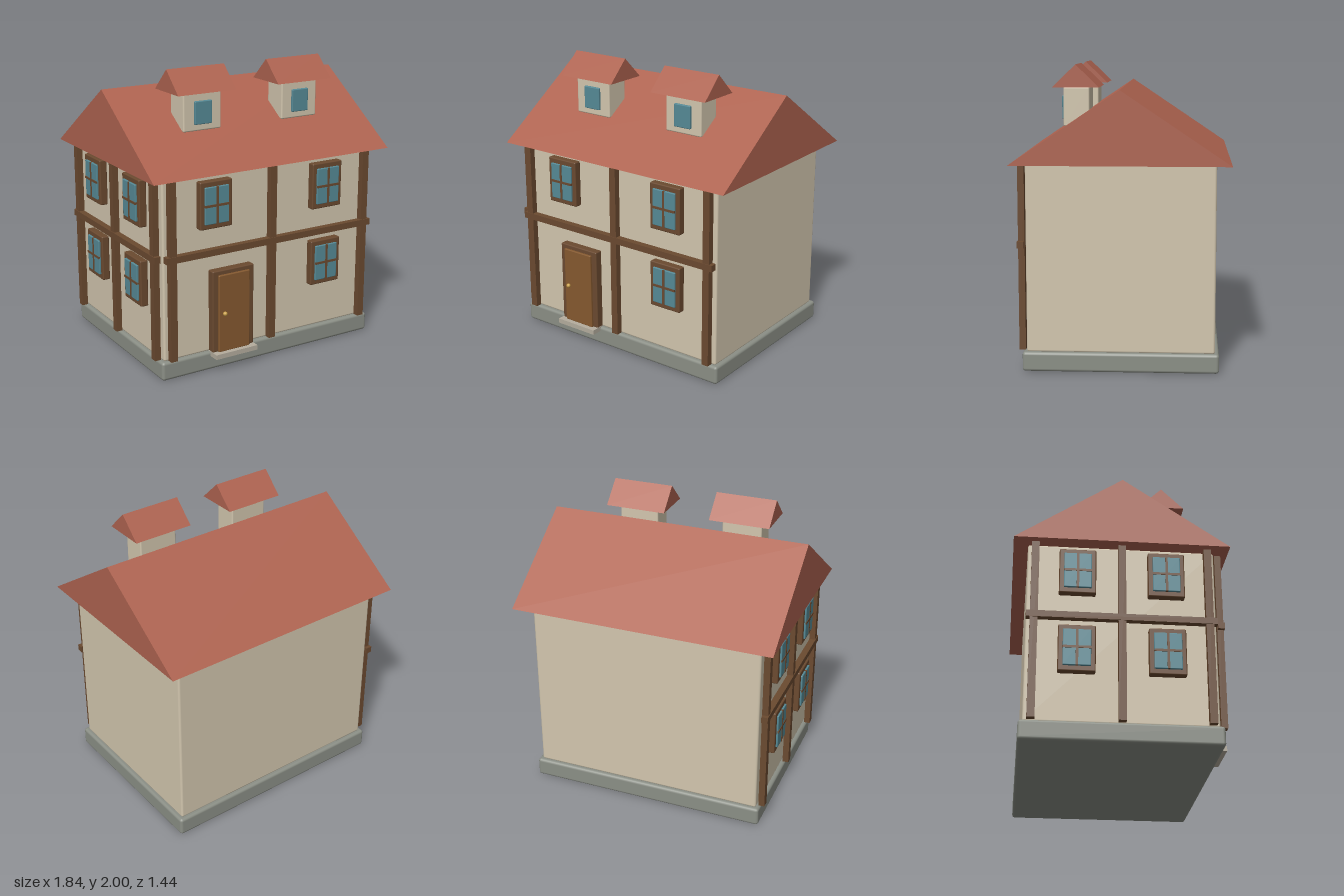
import * as THREE from 'three';
import { RoundedBoxGeometry } from 'three/addons/geometries/RoundedBoxGeometry.js';

const mat = (color) => new THREE.MeshStandardMaterial({ color });
const M = {
  wall: mat(0xd2c6ae), stone: mat(0x8b8f86), roof: mat(0xae6350), timber: mat(0x6b4a30),
  door: mat(0x85592f), glass: mat(0x568a96), step: mat(0xb5ad9e), brass: mat(0xc9a04a),
};

function add(parent, name, geometry, material, x, y, z) {
  const mesh = new THREE.Mesh(geometry, material);
  mesh.name = name;
  mesh.position.set(x, y, z);
  parent.add(mesh);
  return mesh;
}

// Box given by its minimum and maximum corners, with softened edges when r > 0
function box(parent, name, material, [x0, y0, z0], [x1, y1, z1], r = 0) {
  const w = x1 - x0, h = y1 - y0, d = z1 - z0;
  const geo = r ? new RoundedBoxGeometry(w, h, d, 2, r) : new THREE.BoxGeometry(w, h, d);
  return add(parent, name, geo, material, (x0 + x1) / 2, (y0 + y1) / 2, (z0 + z1) / 2);
}

// Gabled prism with its ridge along x
function gableRoof(parent, name, width, halfDepth, height, x, y, z) {
  const s = new THREE.Shape();
  s.moveTo(-halfDepth, 0);
  s.lineTo(halfDepth, 0);
  s.lineTo(0, height);
  s.closePath();
  const geo = new THREE.ExtrudeGeometry(s, { depth: width, bevelEnabled: false });
  geo.translate(0, 0, -width / 2);
  geo.rotateY(Math.PI / 2);
  return add(parent, name, geo, M.roof, x, y, z);
}

// Framed four-pane window; z = 0 is the wall surface
function paneWindow(parent, x, y) {
  const g = new THREE.Group();
  g.name = 'window';
  g.position.set(x, y, 0);
  box(g, 'windowFrame', M.timber, [-0.12, -0.16, 0], [0.12, 0.16, 0.055], 0.008);
  box(g, 'windowGlass', M.glass, [-0.09, -0.125, 0.02], [0.09, 0.125, 0.068], 0.005);
  box(g, 'verticalBar', M.timber, [-0.008, -0.125, 0.03], [0.008, 0.125, 0.072]);
  box(g, 'horizontalBar', M.timber, [-0.09, -0.008, 0.03], [0.09, 0.008, 0.072]);
  parent.add(g);
}

// Half-timbering for one facade: three posts and a cross rail
function timbering(parent, half) {
  for (const x of [-half + 0.05, 0, half - 0.05]) {
    box(parent, 'timberPost', M.timber, [x - 0.025, 0.135, 0.012], [x + 0.025, 1.37, 0.055]);
  }
  box(parent, 'timberRail', M.timber, [-half, 0.818, 0.015], [half, 0.862, 0.06]);
}

function dormer(parent, x) {
  const g = new THREE.Group();
  g.name = 'dormer';
  g.position.x = x;
  box(g, 'dormerWalls', M.wall, [-0.143, 1.59, 0.222], [0.143, 1.85, 0.395], 0.01);
  box(g, 'dormerGlass', M.glass, [-0.065, 1.635, 0.36], [0.065, 1.79, 0.412], 0.006);
  gableRoof(g, 'dormerRoof', 0.435, 0.155, 0.15, 0, 1.85, 0.307);
  parent.add(g);
}

export function createModel() {
  const house = new THREE.Group();
  house.name = 'house';

  box(house, 'foundation', M.stone, [-0.842, 0, -0.645], [0.842, 0.13, 0.645], 0.02);
  box(house, 'walls', M.wall, [-0.815, 0.125, -0.618], [0.815, 1.375, 0.618], 0.015);
  gableRoof(house, 'mainRoof', 1.84, 0.714, 0.48, 0, 1.37, 0);
  for (const x of [-0.385, 0.383]) dormer(house, x);

  // Front facade
  const front = new THREE.Group();
  front.name = 'frontFacade';
  front.position.z = 0.615;
  timbering(front, 0.815);
  for (const [x, y] of [[-0.445, 1.163], [0.437, 1.163], [0.437, 0.612]]) paneWindow(front, x, y);
  house.add(front);

  // Timbered side facade at -x
  const side = new THREE.Group();
  side.name = 'sideFacade';
  side.position.x = -0.815;
  side.rotation.y = -Math.PI / 2;
  timbering(side, 0.618);
  for (const x of [-0.29, 0.29]) for (const y of [0.612, 1.163]) paneWindow(side, x, y);
  house.add(side);

  // Entrance
  const entrance = new THREE.Group();
  entrance.name = 'entrance';
  box(entrance, 'doorFrame', M.timber, [-0.475, 0.13, 0.61], [-0.155, 0.705, 0.672], 0.008);
  box(entrance, 'door', M.door, [-0.435, 0.13, 0.64], [-0.195, 0.675, 0.688], 0.006);
  box(entrance, 'doorstep', M.step, [-0.478, 0.1, 0.6], [-0.153, 0.133, 0.722]);
  add(entrance, 'doorKnob', new THREE.SphereGeometry(0.015, 16, 12), M.brass, -0.395, 0.405, 0.698);
  house.add(entrance);

  return house;
}
